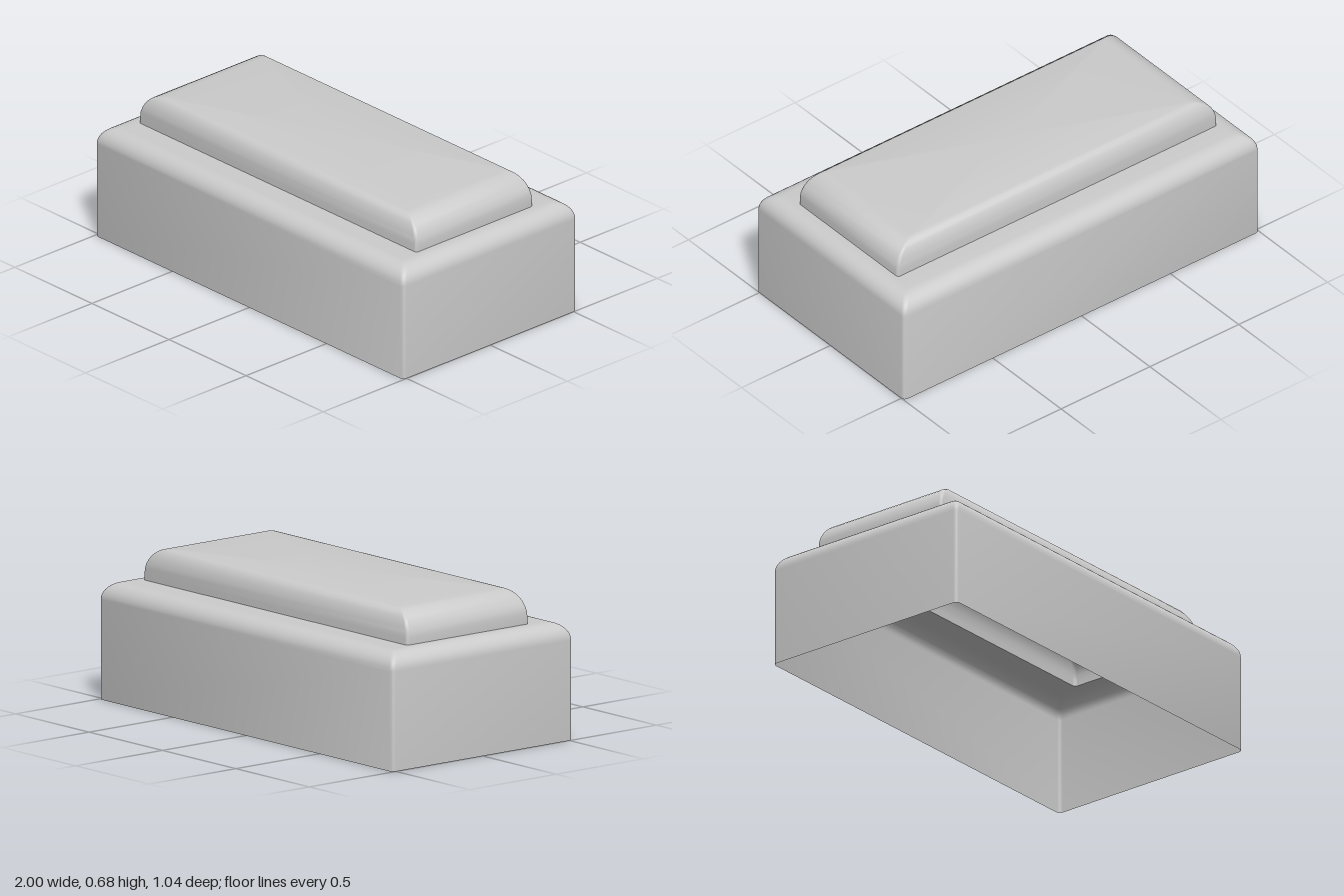
import * as THREE from 'three';
import { toCreasedNormals } from 'three/addons/utils/BufferGeometryUtils.js';

const CORNER_STEPS = 4, EDGE_STEPS = 8;

// Rounded-rectangle outline at height y, ordered from +x towards +z
function outline(hx, hz, r, y) {
  const pts = [];
  [[1, 1], [-1, 1], [-1, -1], [1, -1]].forEach(([sx, sz], q) => {
    for (let i = 0; i <= CORNER_STEPS; i++) {
      const a = (q + i / CORNER_STEPS) * Math.PI / 2;
      pts.push([sx * (hx - r) + r * Math.cos(a), y, sz * (hz - r) + r * Math.sin(a)]);
    }
  });
  return pts;
}

// Skin stacked outlines, optionally closing the last one
function skin(loops, closed) {
  const n = loops[0].length, index = [];
  const positions = loops.flat(2);
  for (let k = 0; k < loops.length - 1; k++) {
    for (let i = 0; i < n; i++) {
      const a = k * n + i, b = k * n + (i + 1) % n;
      index.push(a, a + n, b, b, a + n, b + n);
    }
  }
  if (closed) {
    const top = (loops.length - 1) * n, centre = loops.length * n;
    positions.push(0, loops[loops.length - 1][0][1], 0);
    for (let i = 0; i < n; i++) index.push(centre, top + (i + 1) % n, top + i);
  }
  const g = new THREE.BufferGeometry();
  g.setAttribute('position', new THREE.Float32BufferAttribute(positions, 3));
  g.setIndex(index);
  return toCreasedNormals(g, 0.6);
}

// Upright walls ending in an elliptical rounded edge
function roundedWalls({ hx, hz, y0, y1, rx, ry, rz, corner }) {
  const loops = [outline(hx, hz, corner, y0)];
  for (let i = 0; i <= EDGE_STEPS; i++) {
    const a = i / EDGE_STEPS * Math.PI / 2, inset = 1 - Math.cos(a);
    loops.push(outline(hx - rx * inset, hz - rz * inset, corner, y1 - ry * (1 - Math.sin(a))));
  }
  return loops;
}

export function createModel() {
  const group = new THREE.Group();
  const material = new THREE.MeshStandardMaterial({ color: 0xcccccc, side: THREE.DoubleSide });
  const add = (name, geometry) => {
    const mesh = new THREE.Mesh(geometry, material);
    mesh.name = name;
    group.add(mesh);
  };

  // Hollow base, open below, its top ending at the raised cap
  const base = roundedWalls({ hx: 1, hz: 0.52, y0: 0, y1: 0.53, rx: 0.08, ry: 0.08, rz: 0.08, corner: 0.02 });
  base.push(outline(0.9, 0.35, 0.015, 0.53));
  add('baseShell', skin(base, false));

  // Hollow raised cap with a wider rounding at its ends
  const cap = roundedWalls({ hx: 0.9, hz: 0.35, y0: 0.53, y1: 0.68, rx: 0.12, ry: 0.12, rz: 0.05, corner: 0.015 });
  add('raisedCap', skin(cap, true));

  return group;
}
